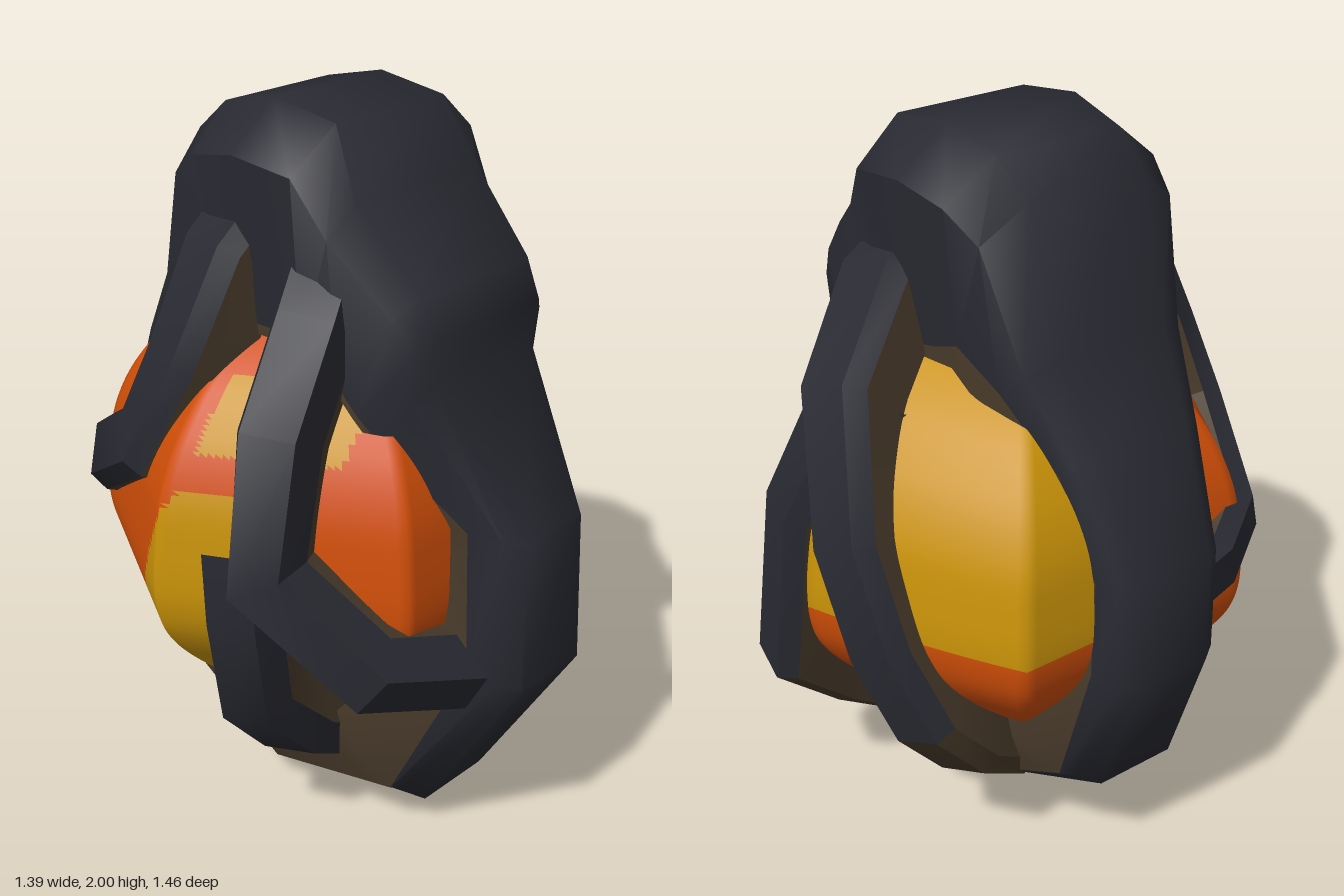
import * as THREE from 'three';
import { toCreasedNormals } from 'three/addons/utils/BufferGeometryUtils.js';

const V = (x, y, z) => new THREE.Vector3(x, y, z);
const CENTRE = V(0, 0.9, -0.045);

// Surface through rows of section points
function loft(rows, crease, closed = false) {
  const n = rows[0].length, pos = [], idx = [];
  rows.forEach(r => r.forEach(p => pos.push(p.x, p.y, p.z)));
  const last = closed ? rows.length : rows.length - 1;
  for (let j = 0; j < last; j++) {
    const k = (j + 1) % rows.length;
    for (let i = 0; i < n - 1; i++) {
      const a = j * n + i, b = a + 1, d = k * n + i, c = d + 1;
      idx.push(a, b, c, a, c, d);
    }
  }
  const g = new THREE.BufferGeometry();
  g.setAttribute('position', new THREE.Float32BufferAttribute(pos, 3));
  g.setIndex(idx);
  return toCreasedNormals(g, crease);
}

function addMesh(parent, name, geometry, material) {
  const m = new THREE.Mesh(geometry, material);
  m.name = name;
  parent.add(m);
}

// Glowing hexagonal core, with faces sorted into two colours
function isYellow(x, y, z) {
  if (x > 0) {
    if (y > 0.79) return x > 0.395 - 1.6 * Math.max(0, 0.05 - z);
    return x > 0.19 && z > 0.08 && y < 0.54 + 0.2 * (x - 0.2);
  }
  if (x < -0.25 && z > 0.0 && z < 0.33 && y > 1.17 && y < 1.34) return true;
  return x < -0.25 && z < 0.28 && y < 0.55 + 1.9 * (z + 0.29) && y < 1.08;
}

function coreGeometry() {
  const profile = new THREE.SplineCurve([
    [0, 0.29], [0.26, 0.33], [0.43, 0.45], [0.6, 0.62], [0.66, 0.76], [0.65, 0.95],
    [0.62, 1.08], [0.55, 1.21], [0.43, 1.34], [0.24, 1.45], [0, 1.5],
  ].map(p => new THREE.Vector2(...p))).getPoints(110);
  profile.forEach(p => { p.x = Math.max(0, p.x); });
  const g = new THREE.LatheGeometry(profile, 180, Math.PI / 6);
  const p = g.attributes.position, step = Math.PI / 3;
  for (let i = 0; i < p.count; i++) {
    const a = Math.atan2(p.getX(i), p.getZ(i)) + Math.PI / 6 + 4 * Math.PI;
    const f = Math.cos(step / 2) / Math.cos((a % step) - step / 2);
    const z = p.getZ(i) * f + CENTRE.z;
    const widen = p.getX(i) > 0 ? 1 + 0.33 * Math.max(0, -z - 0.05) : 1;
    p.setXYZ(i, p.getX(i) * f * widen, p.getY(i), z);
  }
  g.computeVertexNormals();
  const sorted = [[], []], src = g.index.array;
  for (let i = 0; i < src.length; i += 3) {
    const t = [src[i], src[i + 1], src[i + 2]];
    const c = V(0, 0, 0);
    t.forEach(k => c.add(V(p.getX(k), p.getY(k), p.getZ(k)).divideScalar(3)));
    sorted[isYellow(c.x, c.y, c.z) ? 1 : 0].push(...t);
  }
  g.setIndex([...sorted[0], ...sorted[1]]);
  g.addGroup(0, sorted[0].length, 0);
  g.addGroup(sorted[0].length, sorted[1].length, 1);
  return g;
}

// Main ring stations: outer z, y; inner z, y; half widths outer, shoulder, inner; dark share of the side
const RING = [
  [-0.05, 2.0, -0.05, 1.42, 0.2, 0.35, 0.31, 0.95],
  [0.16, 1.97, 0.06, 1.42, 0.2, 0.34, 0.31, 0.95],
  [0.25, 1.8, 0.15, 1.39, 0.23, 0.31, 0.32, 0.95],
  [0.44, 1.6, 0.27, 1.34, 0.21, 0.27, 0.32, 0.95],
  [0.49, 1.5, 0.32, 1.28, 0.2, 0.25, 0.31, 0.95],
  [0.47, 1.38, 0.37, 1.2, 0.19, 0.24, 0.28, 0.9],
  [0.72, 1.0, 0.5, 0.99, 0.11, 0.15, 0.16, 0.7],
  [0.73, 0.58, 0.46, 0.65, 0.12, 0.16, 0.2, 0.5],
  [0.42, 0.09, 0.23, 0.37, 0.12, 0.19, 0.3, 0.24],
  [-0.05, 0.0, -0.05, 0.32, 0.1, 0.2, 0.34, 0.22],
  [-0.6, 0.3, -0.35, 0.42, 0.12, 0.18, 0.28, 0.28],
  [-0.73, 0.68, -0.56, 0.7, 0.11, 0.16, 0.2, 0.65],
  [-0.72, 0.98, -0.57, 0.95, 0.11, 0.16, 0.18, 0.72],
  [-0.58, 1.28, -0.45, 1.18, 0.14, 0.2, 0.23, 0.5],
  [-0.45, 1.5, -0.28, 1.35, 0.17, 0.25, 0.28, 0.62],
  [-0.34, 1.87, -0.18, 1.42, 0.18, 0.3, 0.29, 0.85],
  [-0.23, 1.96, -0.12, 1.42, 0.19, 0.33, 0.3, 0.92],
];

function addRing(parent, dark, brown) {
  const shell = [], lining = [];
  for (const [oz, oy, iz, iy, a, b, d, f] of RING) {
    const at = (x, k) => V(x, oy + (iy - oy) * k, oz + (iz - oz) * k);
    const w = b + (d - b) * f;
    shell.push([at(w, f), at(b, 0.2), at(a, 0), at(-a, 0), at(-b, 0.2), at(-w, f)]);
    lining.push([at(-w, f), at(-d, 1), at(d, 1), at(w, f)]);
  }
  addMesh(parent, 'ringShell', loft(shell, 0.95, true), dark);
  addMesh(parent, 'ringLining', loft(lining, 0.95, true), brown);
}

// Cage rib along a path on its outer face (x, y, z, optional half width);
// from row brownFrom on, the outer face is brown too
function addRib(parent, name, points, dark, brown, { brownFrom = points.length - 1, rim = 0.05, depth = 0.2 } = {}) {
  const path = points.map(p => V(p[0], p[1], p[2])), outer = [], inner = [];
  path.forEach((p, i) => {
    const w = points[i][3] ?? 0.1;
    const t = path[Math.min(i + 1, path.length - 1)].clone().sub(path[Math.max(i - 1, 0)]).normalize();
    const o = p.clone().sub(CENTRE);
    o.addScaledVector(t, -o.dot(t)).normalize();
    const s = t.clone().cross(o);
    const at = (u, v) => p.clone().addScaledVector(s, u * w).addScaledVector(o, -v);
    outer.push([at(-1, rim), at(-0.65, 0), at(0.65, 0), at(1, rim)]);
    inner.push([at(1, rim), at(0.95, depth), at(-0.95, depth), at(-1, rim)]);
  });
  const rib = new THREE.Group();
  rib.name = name;
  addMesh(rib, 'ribShell', loft(outer.slice(0, brownFrom + 1), 0.65), dark);
  if (brownFrom < path.length - 1) addMesh(rib, 'ribFoot', loft(outer.slice(brownFrom), 0.65), brown);
  addMesh(rib, 'ribLining', loft(inner, 0.65), brown);
  parent.add(rib);
}

export function createModel() {
  const mat = (name, color) => {
    const m = new THREE.MeshStandardMaterial({ color });
    m.name = name;
    return m;
  };
  const dark = mat('charcoal', 0x292a32), brown = mat('brown', 0x493b2b);
  const orange = mat('orange', 0xd04e08), yellow = mat('yellow', 0xc99208);
  const model = new THREE.Group();
  model.name = 'cagedPod';

  addMesh(model, 'core', coreGeometry(), [orange, yellow]);
  addRing(model, dark, brown);

  // Forked pair on the left side
  addRib(model, 'leftRearRib', [[0.22, 1.7, 0.12, 0.12], [0.37, 1.65, 0.07, 0.12], [0.59, 1.41, -0.05, 0.11],
    [0.68, 1.05, -0.21], [0.65, 0.76, -0.31], [0.56, 0.51, -0.38], [0.41, 0.34, -0.37], [0.22, 0.2, -0.3]],
  dark, brown, { brownFrom: 5 });
  addRib(model, 'leftFrontRib', [[0.56, 1.4, -0.04], [0.68, 1.05, 0.06], [0.67, 0.5, 0.18],
    [0.45, 0.31, 0.23, 0.12], [0.22, 0.18, 0.2, 0.12]], dark, brown, { brownFrom: 2 });
  // Right side: front hoop, its lower branch and the rear hoop
  addRib(model, 'rightFrontRib', [[-0.24, 1.68, 0.17, 0.11], [-0.38, 1.55, 0.23, 0.11], [-0.56, 1.3, 0.27, 0.11],
    [-0.66, 0.94, 0.31, 0.11], [-0.49, 0.66, 0.55], [-0.1, 0.53, 0.64]], dark, brown, { rim: 0.12, depth: 0.27 });
  addRib(model, 'rightLowerRib', [[-0.66, 1.0, 0.22], [-0.66, 0.8, 0.23], [-0.59, 0.48, 0.2],
    [-0.4, 0.28, 0.17, 0.12], [-0.2, 0.16, 0.14, 0.12]], dark, brown, { rim: 0.09, depth: 0.22 });
  addRib(model, 'rightRearRib', [[-0.24, 1.78, -0.12, 0.11], [-0.38, 1.66, -0.13, 0.11], [-0.5, 1.38, -0.17, 0.11],
    [-0.55, 1.13, -0.28, 0.11], [-0.41, 0.95, -0.58, 0.11], [-0.25, 0.88, -0.67], [-0.04, 0.83, -0.69]], dark, brown);
  return model;
}
